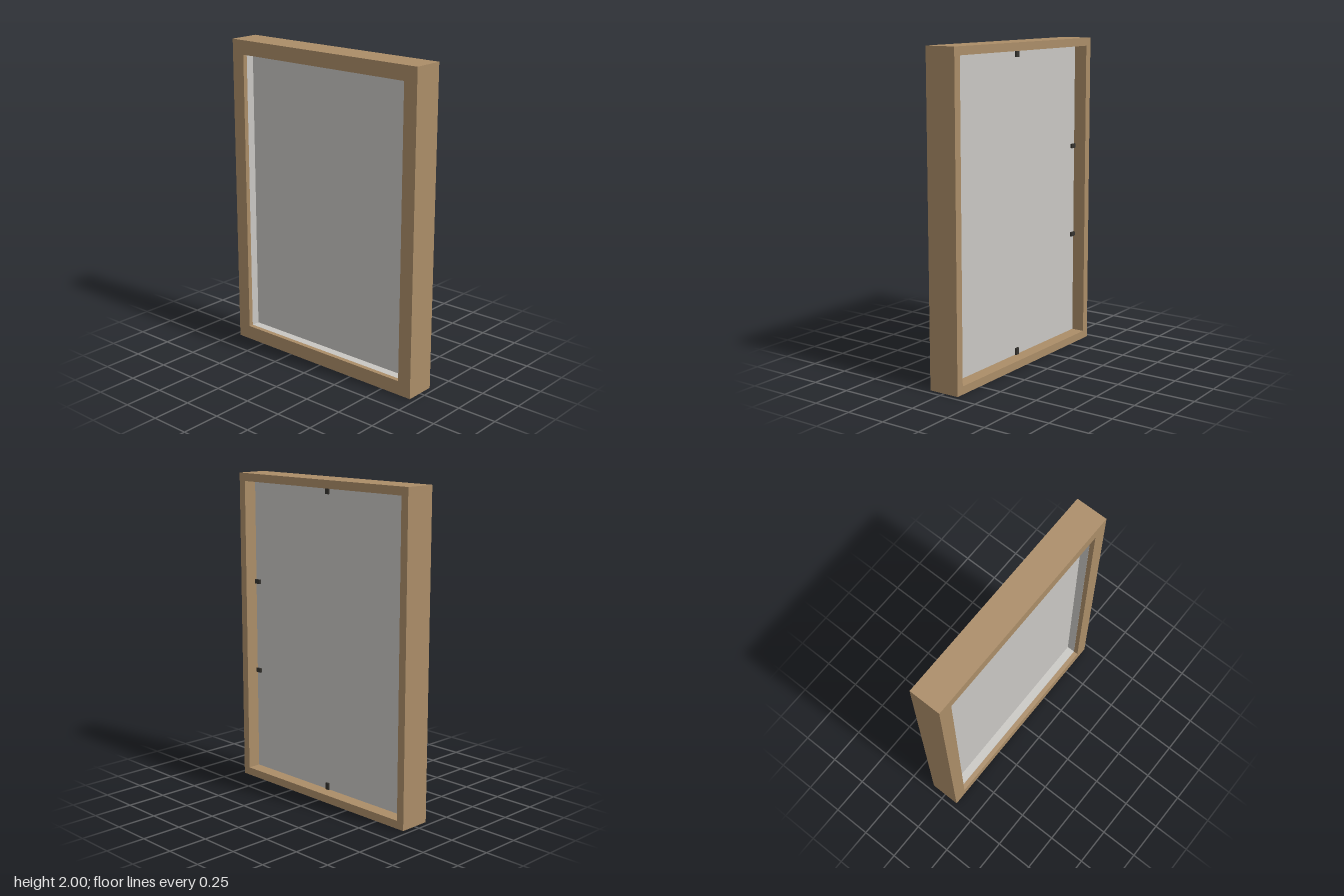
import * as THREE from 'three';

const W = 0.715, H = 2; // half width and full height

const wood = new THREE.MeshStandardMaterial({ color: 0xab8d68 });
wood.name = 'wood';
const pale = new THREE.MeshStandardMaterial({ color: 0xc9c7c3 });
pale.name = 'paleGrey';
const metal = new THREE.MeshStandardMaterial({ color: 0x35332f });
metal.name = 'darkMetal';

// Corners of the frame moved inwards by d, anticlockwise from bottom left
const corners = (d) => [[-W + d, d], [W - d, d], [W - d, H - d], [-W + d, H - d]];

// One mitred rail: a closed profile of [inset, z] points swept along one side
function railGeometry(profile, side) {
  const pos = [];
  profile.forEach(([d1, z1], i) => {
    const [d2, z2] = profile[(i + 1) % profile.length];
    const c1 = corners(d1), c2 = corners(d2), next = (side + 1) % 4;
    const a = [...c1[side], z1], b = [...c1[next], z1];
    const c = [...c2[next], z2], d = [...c2[side], z2];
    pos.push(...a, ...b, ...c, ...a, ...c, ...d);
  });
  const geo = new THREE.BufferGeometry();
  geo.setAttribute('position', new THREE.Float32BufferAttribute(pos, 3));
  geo.computeVertexNormals();
  return geo;
}

function ring(name, profile, material) {
  const group = new THREE.Group();
  group.name = name;
  ['bottom', 'left', 'top', 'right'].forEach((side, i) => {
    const mesh = new THREE.Mesh(railGeometry(profile, i), material);
    mesh.name = side + 'Rail';
    group.add(mesh);
  });
  return group;
}

export function createModel() {
  const model = new THREE.Group();
  model.name = 'pictureFrame';

  // Wooden rails with a lip at the front and a rabbet open to the back
  model.add(ring('frame', [
    [0, 0.1], [0.09, 0.1], [0.09, 0.07], [0.05, 0.07], [0.05, -0.1], [0, -0.1],
  ], wood));

  // Spacer between the lip and the panel
  model.add(ring('spacer', [
    [0.052, 0.069], [0.089, 0.069], [0.089, 0.015], [0.052, 0.015],
  ], pale));

  // Recessed panel
  const panel = new THREE.Mesh(new THREE.BoxGeometry(2 * W - 0.1, H - 0.1, 0.03), pale);
  panel.name = 'panel';
  panel.position.set(0, H / 2, 0);
  model.add(panel);

  // Small retaining clips on the back, pointing inwards from the rabbet wall
  const clipGeo = new THREE.BoxGeometry(0.045, 0.028, 0.012);
  const addClip = (x, y, angle) => {
    const clip = new THREE.Mesh(clipGeo, metal);
    clip.name = 'clip';
    clip.position.set(x, y, -0.021);
    clip.rotation.z = angle;
    model.add(clip);
  };
  for (const s of [-1, 1]) {
    for (const y of [0.71, 1.3]) addClip(s * (W - 0.07), y, 0);
    addClip(0, H / 2 + s * (H / 2 - 0.07), Math.PI / 2);
  }
  return model;
}
